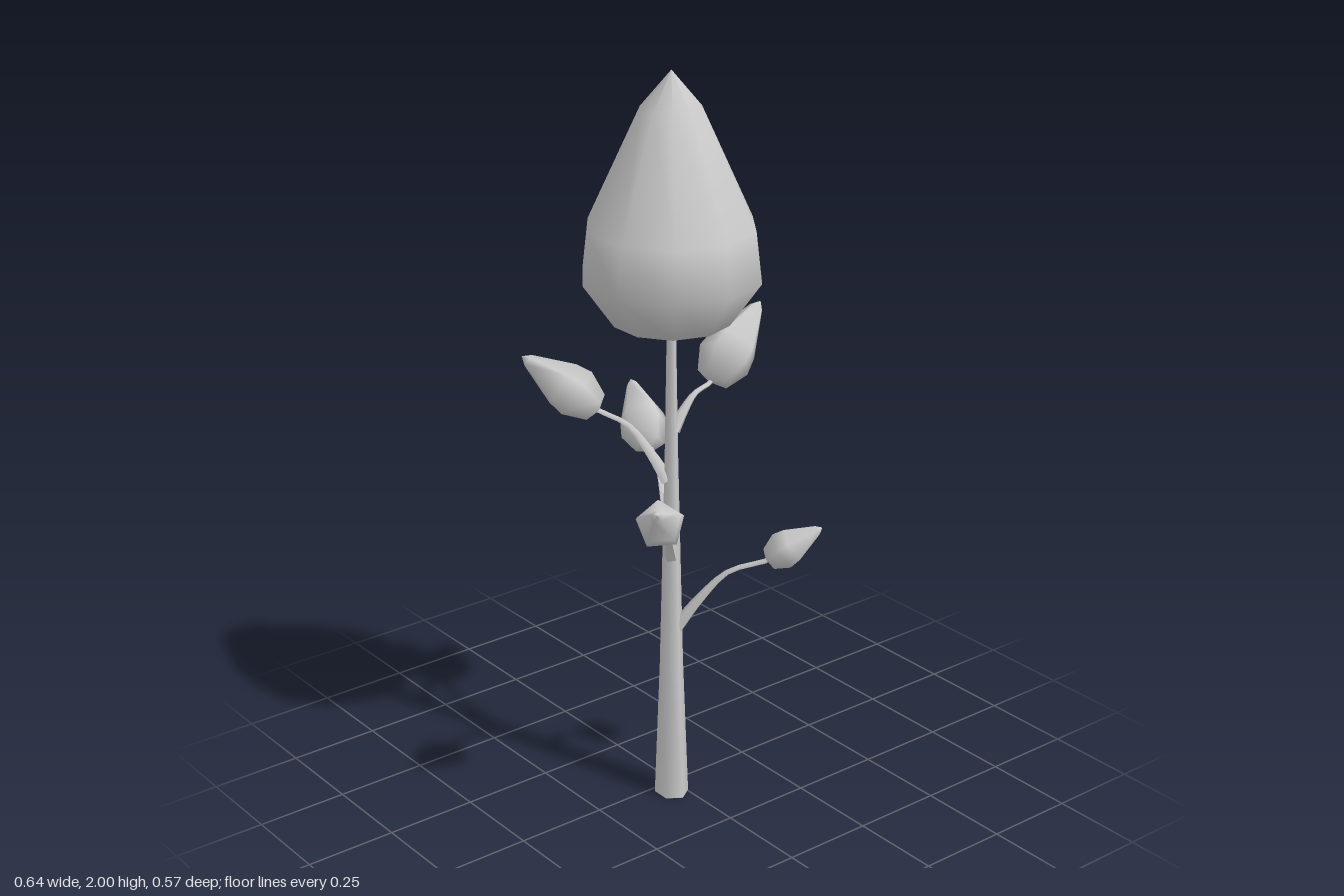
import * as THREE from 'three';

const material = new THREE.MeshStandardMaterial({ color: 0xcccccc, side: THREE.DoubleSide });
const AXIS_X = 0.04, AXIS_Z = 0.035;

function addMesh(parent, name, geometry) {
  const mesh = new THREE.Mesh(geometry, material);
  mesh.name = name;
  parent.add(mesh);
  return mesh;
}

// Revolved profile of [radius, height] pairs with a chosen number of sides
function turned(profile, sides) {
  const points = profile.map(([r, y]) => new THREE.Vector2(r, y));
  return new THREE.LatheGeometry(points, sides, Math.PI / 2);
}

// Tube that narrows from start radius to end radius
function taperedTube(curve, startRadius, endRadius, steps = 10, sides = 5) {
  const geometry = new THREE.TubeGeometry(curve, steps, startRadius, sides);
  const pos = geometry.attributes.position;
  const v = new THREE.Vector3();
  for (let i = 0; i < pos.count; i++) {
    const t = Math.floor(i / (sides + 1)) / steps;
    const centre = curve.getPointAt(t);
    const scale = THREE.MathUtils.lerp(1, endRadius / startRadius, Math.min(1, t * 1.6));
    v.fromBufferAttribute(pos, i).sub(centre).multiplyScalar(scale).add(centre);
    pos.setXYZ(i, v.x, v.y, v.z);
  }
  geometry.computeVertexNormals();
  return geometry;
}

// Leaf clump: full near the stem, drawn out to a blunt point
function leafGeometry(radius, length) {
  const shape = [[0, 0], [0.6, 0.05], [1, 0.3], [0.9, 0.48], [0.25, 0.92], [0, 1]];
  return turned(shape.map(([r, t]) => [r * radius, t * length]), 5);
}

// Joint height on the trunk, leaf base, leaf tip, leaf radius
const branches = [
  { joint: 0.50, base: [0.215, 0.705, -0.145], tip: [0.317, 0.808, -0.243], radius: 0.052 },
  { joint: 0.71, base: [0.165, 0.865, 0.165], tip: [0.29, 0.978, 0.278], radius: 0.064 },
  { joint: 0.75, base: [-0.155, 0.925, -0.05], tip: [-0.32, 1.06, -0.11], radius: 0.07 },
  { joint: 0.92, base: [-0.115, 1.095, 0.15], tip: [-0.27, 1.23, 0.28], radius: 0.072 },
  { joint: 1.06, base: [0.045, 1.165, -0.09], tip: [0.01, 1.335, -0.285], radius: 0.077 },
];

export function createModel() {
  const tree = new THREE.Group();
  tree.name = 'tree';

  // Six-sided tapering trunk
  const trunk = addMesh(tree, 'trunk', turned(
    [[0, 0], [0.05, 0], [0.05, 0.001], [0.034, 0.4], [0.026, 0.72], [0.019, 1], [0.013, 1.34]], 6));
  trunk.position.set(AXIS_X, 0, AXIS_Z);
  trunk.scale.z = 0.88;

  // Teardrop crown
  const crown = addMesh(tree, 'crown', turned(
    [[0, 1.305], [0.152, 1.36], [0.233, 1.476], [0.217, 1.61], [0.08, 1.905], [0, 2]], 10));
  crown.position.set(AXIS_X, 0, AXIS_Z);

  // Curved side branches, each carrying a leaf clump
  const up = new THREE.Vector3(0, 1, 0);
  branches.forEach(({ joint, base, tip, radius }) => {
    const branch = new THREE.Group();
    branch.name = 'branch';
    tree.add(branch);

    const start = new THREE.Vector3(AXIS_X, joint, AXIS_Z);
    const end = new THREE.Vector3(...base);
    const direction = new THREE.Vector3(...tip).sub(end);
    const length = direction.length();
    direction.normalize();

    const path = [[0.06, 0], [0.3, 0.42], [0.6, 0.82], [1, 1]].map(([out, rise]) => new THREE.Vector3(
      THREE.MathUtils.lerp(start.x, end.x, out),
      THREE.MathUtils.lerp(start.y, end.y, rise),
      THREE.MathUtils.lerp(start.z, end.z, out)));
    path.push(end.clone().addScaledVector(direction, 0.03));
    addMesh(branch, 'stem', taperedTube(new THREE.CatmullRomCurve3(path), 0.019, 0.007));

    const leaf = addMesh(branch, 'leafClump', leafGeometry(radius, length));
    leaf.position.copy(end);
    leaf.quaternion.setFromUnitVectors(up, direction);
  });

  return tree;
}
